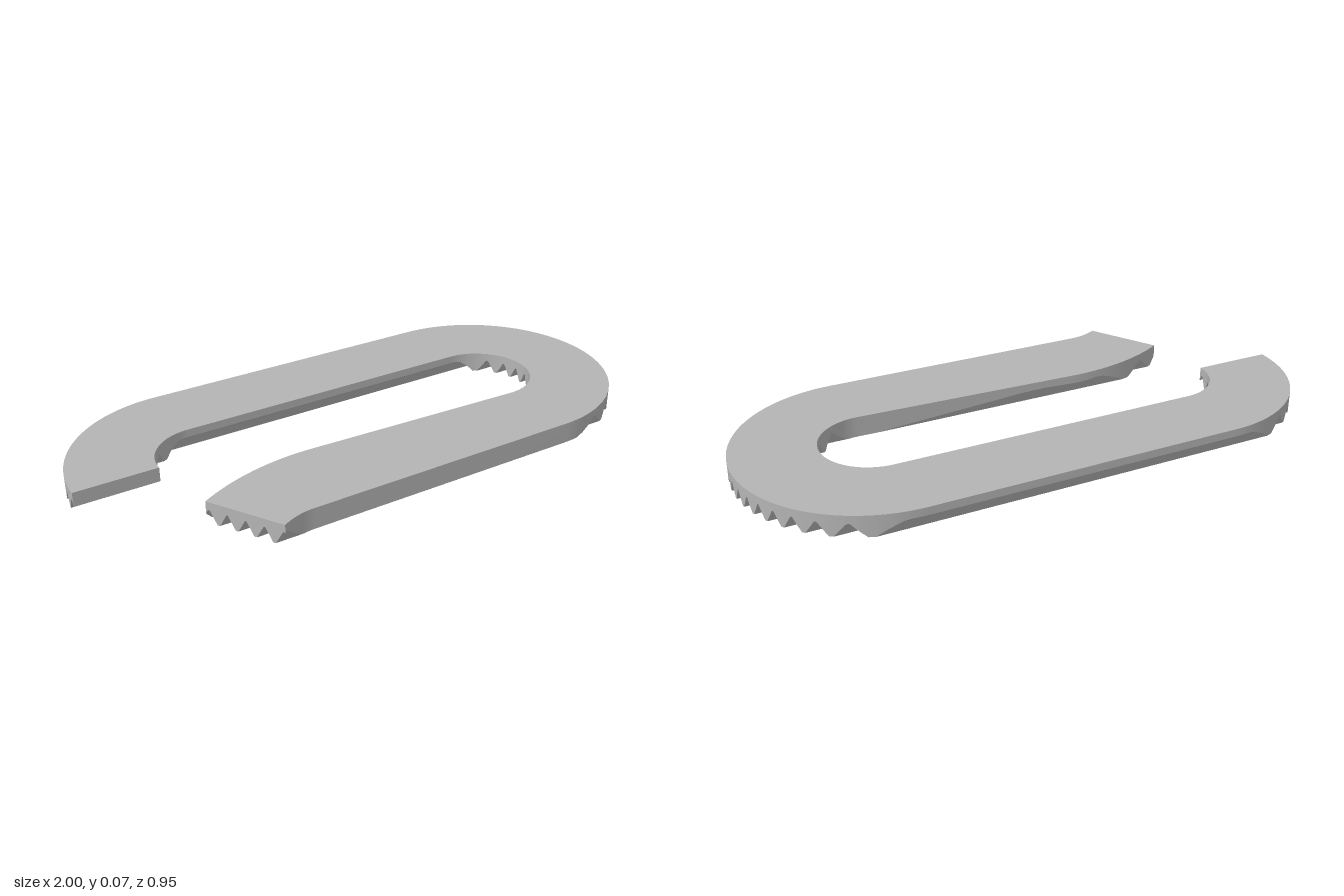
import * as THREE from 'three';
import { toCreasedNormals } from 'three/addons/utils/BufferGeometryUtils.js';

const TOP = 0.072, ROOT = 0.045, PITCH = 0.0556, FIRST = 0.44, TEETH = 17;
const rad = THREE.MathUtils.degToRad;

// Underside profile across z: [z, y] points of a row of ridges running along x
function ridgeProfile() {
  const half = [[0.004, 0], [0.0215, 0.036], [0.0242, 0.042], [PITCH / 2, ROOT]];
  const points = [[-0.6, ROOT]];
  for (let i = TEETH - 1; i >= 0; i--) {
    const c = FIRST - i * PITCH;
    for (let k = 3; k >= 0; k--) points.push([c - half[k][0], half[k][1]]);
    // neighbouring ridges share their root point
    for (let k = 0; k < (i ? 3 : 4); k++) points.push([c + half[k][0], half[k][1]]);
  }
  points.push([0.6, ROOT]);
  return points;
}

// Open loop outline, drawn in (x, z)
function hookOutline() {
  const s = new THREE.Shape();
  s.moveTo(-1, -0.02);
  s.absarc(-0.54, -0.02, 0.46, Math.PI, rad(270), false);
  s.absarc(0.54, -0.02, 0.46, rad(-90), rad(90), false);
  s.absarc(-0.43, 0.67, 0.23, rad(-90), rad(-121), true);
  s.absarc(-0.29, 0.92, 0.79, rad(-120), rad(-88), false);
  s.absarc(0.54, -0.02, 0.18, rad(92), rad(-90), true);
  s.absarc(-0.54, -0.02, 0.18, rad(-90), rad(-180), true);
  const pts = s.getPoints(24);
  return pts.filter((p, i) => p.distanceTo(pts[(i + 1) % pts.length]) > 1e-5);
}

// Keep the part of a convex polygon where sign * (z - limit) >= 0
function clip(poly, limit, sign) {
  const out = [];
  poly.forEach((a, i) => {
    const b = poly[(i + 1) % poly.length];
    const da = sign * (a.y - limit), db = sign * (b.y - limit);
    if (da >= 0) out.push(a);
    if (da * db < 0) {
      const p = a.clone().lerp(b, da / (da - db));
      p.y = limit;
      out.push(p);
    }
  });
  return out;
}

function toGeometry(positions) {
  const g = new THREE.BufferGeometry();
  g.setAttribute('position', new THREE.Float32BufferAttribute(positions, 3));
  return toCreasedNormals(g, 0.5);
}

export function createModel() {
  const group = new THREE.Group();
  group.name = 'ridgedHook';
  const grey = new THREE.MeshStandardMaterial({ color: 0xb4b4b4 });
  grey.name = 'grey';

  const outline = hookOutline();
  const profile = ridgeProfile();
  const faces = THREE.ShapeUtils.triangulateShape(outline, []);
  const heightAt = (z) => {
    const i = Math.max(1, profile.findIndex((p) => p[0] >= z));
    const [z0, y0] = profile[i - 1], [z1, y1] = profile[i];
    return y0 + (y1 - y0) * (z - z0) / (z1 - z0);
  };

  const top = [], sides = [], under = [];

  // Flat top
  for (const [a, b, c] of faces) {
    for (const i of [a, c, b]) top.push(outline[i].x, TOP, outline[i].y);
  }

  // Ridged underside: the outline sliced into strips along the profile
  for (const f of faces) {
    const tri = f.map((i) => outline[i]);
    for (let i = 1; i < profile.length; i++) {
      const strip = clip(clip(tri, profile[i - 1][0], 1), profile[i][0], -1);
      for (let k = 2; k < strip.length; k++) {
        for (const p of [strip[0], strip[k - 1], strip[k]]) under.push(p.x, heightAt(p.y), p.y);
      }
    }
  }

  // Side walls, their lower edge following the ridges
  outline.forEach((a, i) => {
    const b = outline[(i + 1) % outline.length];
    const cuts = [0, 1];
    for (const [z] of profile) {
      const t = (z - a.y) / (b.y - a.y);
      if (t > 1e-4 && t < 1 - 1e-4) cuts.push(t);
    }
    cuts.sort((m, n) => m - n);
    for (let k = 1; k < cuts.length; k++) {
      const p = a.clone().lerp(b, cuts[k - 1]), q = a.clone().lerp(b, cuts[k]);
      const hp = heightAt(p.y), hq = heightAt(q.y);
      sides.push(p.x, TOP, p.y, q.x, TOP, q.y, q.x, hq, q.y);
      sides.push(p.x, TOP, p.y, q.x, hq, q.y, p.x, hp, p.y);
    }
  });

  for (const [name, positions] of Object.entries({ topFace: top, sideWalls: sides, ridgedUnderside: under })) {
    const mesh = new THREE.Mesh(toGeometry(positions), grey);
    mesh.name = name;
    group.add(mesh);
  }
  return group;
}
